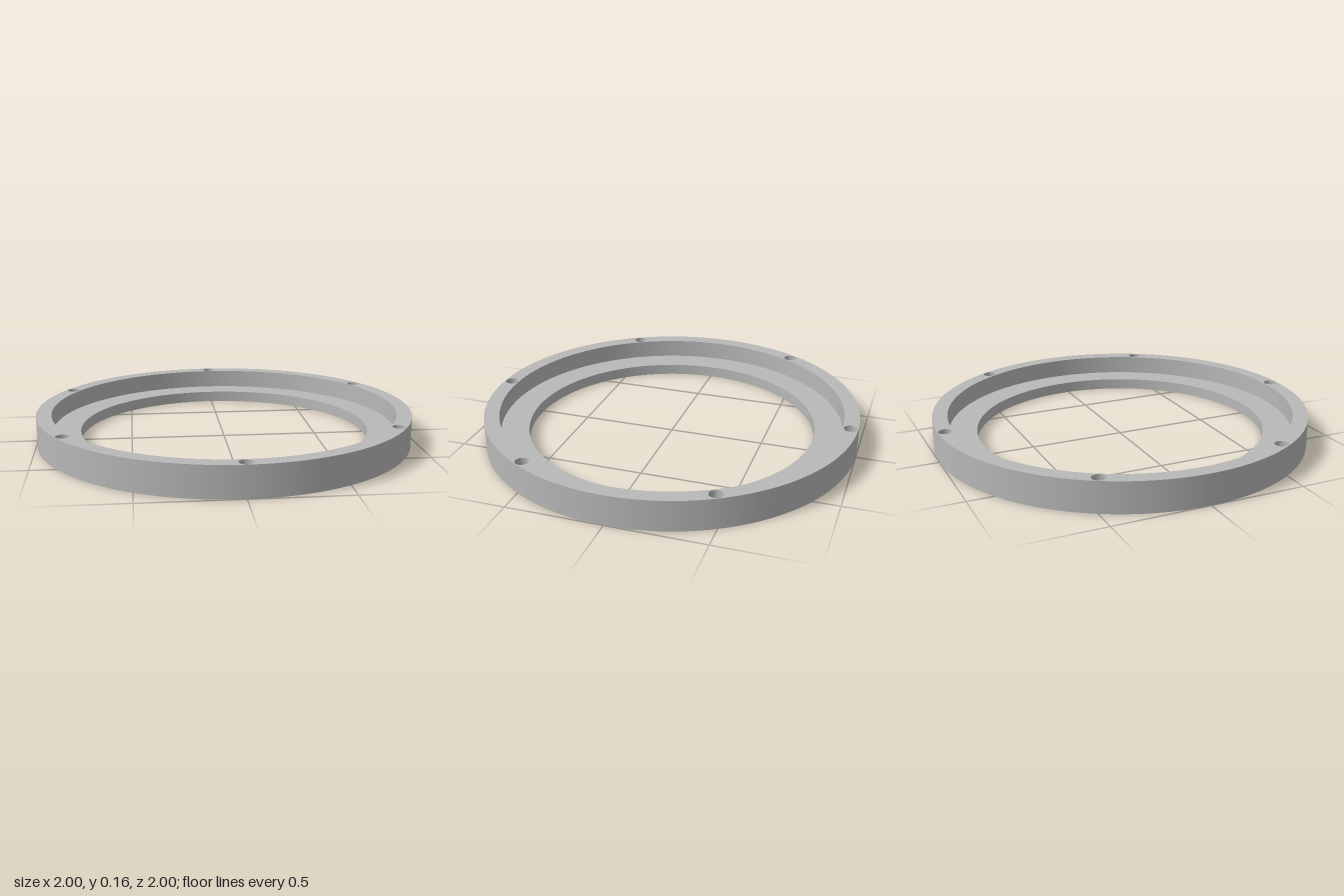
import * as THREE from 'three';

const OUTER = 1, RIM = 0.92, BORE = 0.77;
const HEIGHT = 0.16, LEDGE = 0.06;
const BOLT_CIRCLE = 0.961, BOLT_R = 0.035, BOLTS = 6;
const SEGMENTS = 128;

// Round wall; drawn upwards it faces outwards, downwards it faces the axis
function wall(radius, from, to, segments = SEGMENTS) {
  return new THREE.LatheGeometry(
    [new THREE.Vector2(radius, from), new THREE.Vector2(radius, to)], segments);
}

const boltPositions = Array.from({ length: BOLTS }, (_, i) => {
  const a = Math.PI / 2 + (i * 2 * Math.PI) / BOLTS;
  return [Math.cos(a) * BOLT_CIRCLE, Math.sin(a) * BOLT_CIRCLE];
});

// Flat ring, optionally pierced by the bolt holes
function flatRing(outer, inner, y, up, pierced) {
  const circle = (path, x, z, r) => path.absarc(x, z, r, 0, Math.PI * 2, false);
  const shape = circle(new THREE.Shape(), 0, 0, outer);
  shape.holes.push(circle(new THREE.Path(), 0, 0, inner));
  if (pierced) {
    for (const [x, z] of boltPositions) {
      shape.holes.push(circle(new THREE.Path(), x, z, BOLT_R));
    }
  }
  return new THREE.ShapeGeometry(shape, SEGMENTS)
    .rotateX(up ? -Math.PI / 2 : Math.PI / 2)
    .translate(0, y, 0);
}

export function createModel() {
  const group = new THREE.Group();
  group.name = 'flangeRing';
  const grey = new THREE.MeshStandardMaterial({ color: 0xb8b8b8 });
  grey.name = 'grey metal';

  const add = (name, geometry) => {
    const mesh = new THREE.Mesh(geometry, grey);
    mesh.name = name;
    group.add(mesh);
    return mesh;
  };

  // Round walls
  add('outerWall', wall(OUTER, 0, HEIGHT));
  add('recessWall', wall(RIM, HEIGHT, LEDGE));
  add('boreWall', wall(BORE, LEDGE, 0));

  // Flat faces
  add('rimTop', flatRing(OUTER, RIM, HEIGHT, true, true));
  add('ledgeTop', flatRing(RIM, BORE, LEDGE, true, false));
  add('underside', flatRing(OUTER, BORE, 0, false, true));

  // Through holes around the rim
  const boltWall = wall(BOLT_R, HEIGHT, 0, SEGMENTS);
  boltPositions.forEach(([x, z], i) => {
    add(`boltHole${i + 1}`, boltWall).position.set(x, 0, z);
  });

  return group;
}
